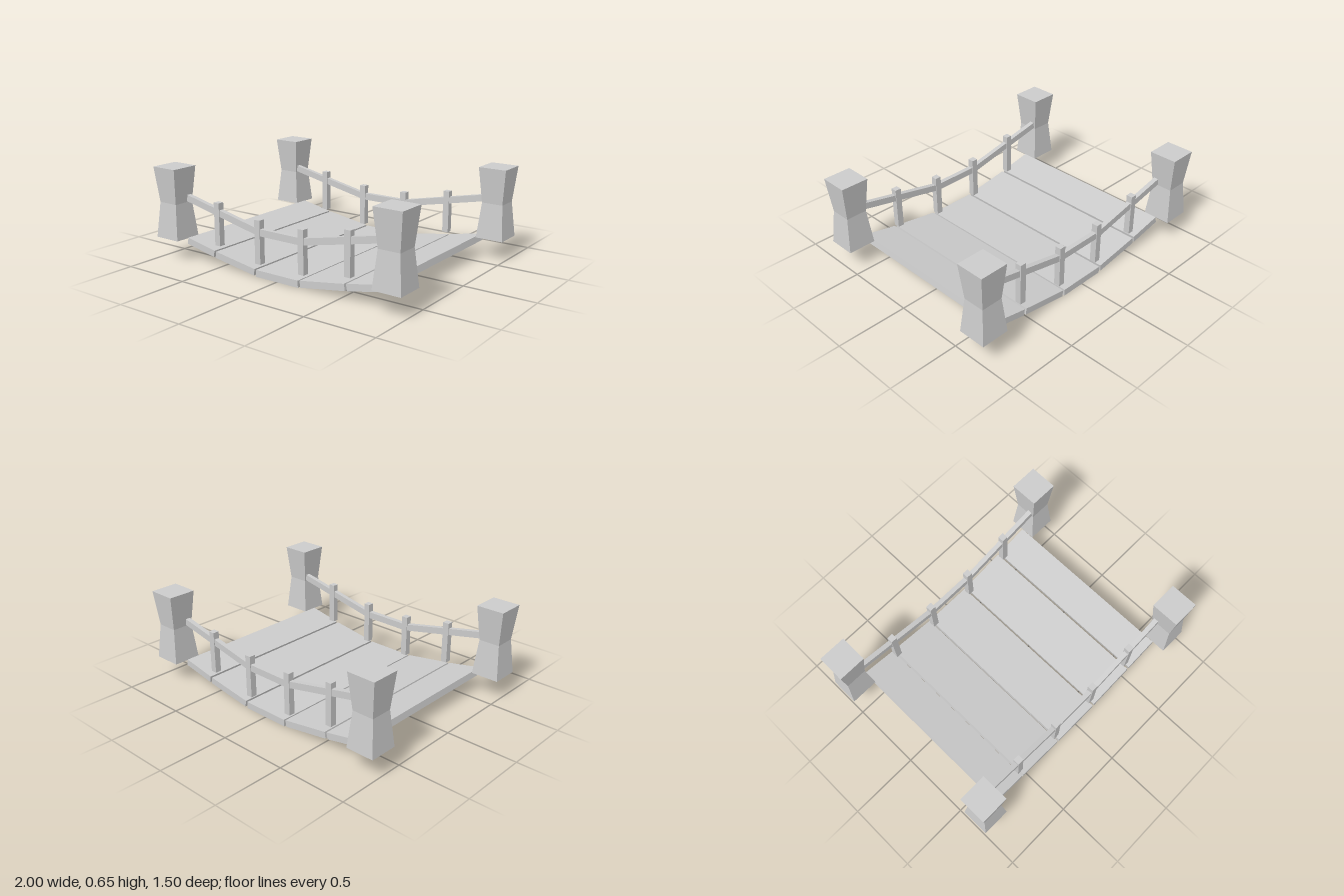
import * as THREE from 'three';

const mat = new THREE.MeshStandardMaterial({ color: 0xcccccc, flatShading: true });

function add(group, name, geo, x = 0, y = 0, z = 0) {
  const mesh = new THREE.Mesh(geo, mat);
  mesh.name = name;
  mesh.position.set(x, y, z);
  group.add(mesh);
  return mesh;
}

// Box whose long axis runs between two points in the xy plane
function beam(group, name, [x1, y1], [x2, y2], z, height, depth) {
  const geo = new THREE.BoxGeometry(Math.hypot(x2 - x1, y2 - y1), height, depth);
  const mesh = add(group, name, geo, (x1 + x2) / 2, (y1 + y2) / 2, z);
  mesh.rotation.z = Math.atan2(y2 - y1, x2 - x1);
}

// Square pillar pinched at mid height
function pillarGeometry() {
  const geo = new THREE.BoxGeometry(0.2, 0.5, 0.2, 1, 2, 1);
  const p = geo.attributes.position;
  for (let i = 0; i < p.count; i++) {
    if (Math.abs(p.getY(i)) < 0.01) {
      p.setX(i, p.getX(i) * 0.76);
      p.setZ(i, p.getZ(i) * 0.76);
    }
  }
  geo.computeVertexNormals();
  return geo;
}

export function createModel() {
  const bridge = new THREE.Group();
  bridge.name = 'bridge';

  // Sagging deck of five planks
  beam(bridge, 'middlePlank', [-0.175, 0.025], [0.175, 0.025], 0, 0.048, 1.3);
  for (const s of [-1, 1]) {
    beam(bridge, 'innerPlank', [s * 0.192, 0.029], [s * 0.537, 0.083], 0, 0.046, 1.3);
    beam(bridge, 'outerPlank', [s * 0.553, 0.086], [s * 0.801, 0.135], 0, 0.046, 1.3);
  }

  const pillar = pillarGeometry();
  const post = new THREE.BoxGeometry(0.045, 0.3, 0.045);
  for (const z of [-1, 1]) {
    const railZ = z * 0.603;
    beam(bridge, 'middleRail', [-0.18, 0.297], [0.18, 0.297], railZ, 0.048, 0.034);
    for (const s of [-1, 1]) {
      // Corner pillars, railing posts and sloping rails
      add(bridge, 'cornerPillar', pillar, s * 0.9, 0.403, z * 0.65);
      add(bridge, 'innerPost', post, s * 0.18, 0.23, railZ);
      add(bridge, 'outerPost', post, s * 0.54, 0.29, railZ);
      beam(bridge, 'slopingRail', [s * 0.18, 0.297], [s * 0.83, 0.433], railZ, 0.046, 0.034);
    }
  }
  return bridge;
}
